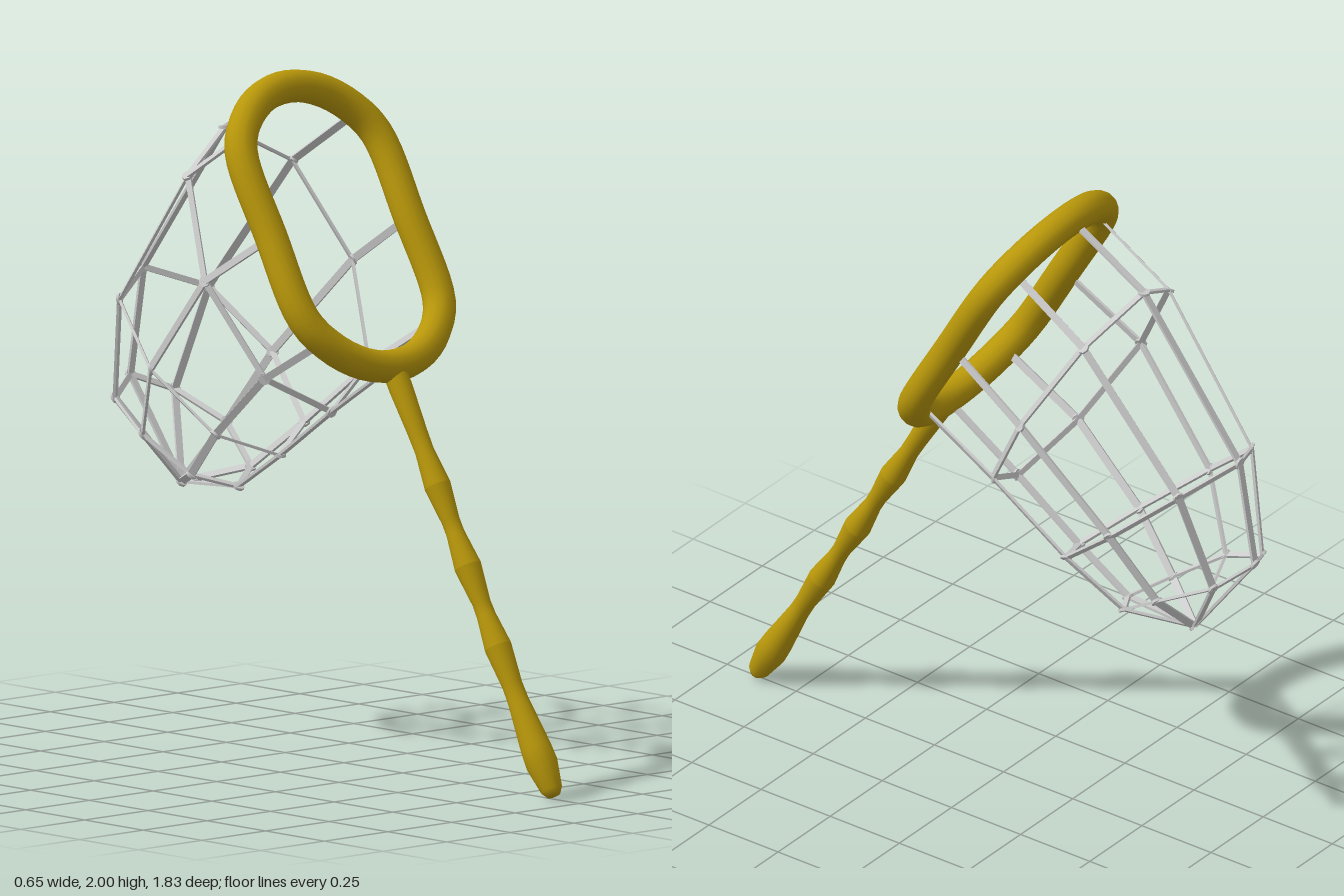
import * as THREE from 'three';
import { mergeGeometries } from 'three/addons/utils/BufferGeometryUtils.js';

const V = (x, y, z) => new THREE.Vector3(x, y, z);

export function createModel() {
  const model = new THREE.Group();
  const bamboo = new THREE.MeshStandardMaterial({ color: 0xb8970a });
  const cord = new THREE.MeshStandardMaterial({ color: 0xcccccc });

  // Everything is built upright along y, then leaned back
  const landingNet = new THREE.Group();
  landingNet.name = 'landingNet';
  landingNet.position.set(0, 0.02, 0.888);
  landingNet.rotation.x = THREE.MathUtils.degToRad(-30.3);
  model.add(landingNet);

  const add = (parent, geometry, material, name) => {
    const mesh = new THREE.Mesh(geometry, material);
    mesh.name = name;
    parent.add(mesh);
  };

  // Handle: one lathe per cane section, so each joint keeps a crisp ring
  const handle = new THREE.Group();
  handle.name = 'handle';
  landingNet.add(handle);
  const sections = [
    [[0, -0.012], [0.02, -0.011], [0.032, 0.008], [0.047, 0.09], [0.045, 0.14], [0.031, 0.29], [0.03, 0.34], [0.04, 0.46]],
    [[0.04, 0.46], [0.028, 0.56], [0.027, 0.6], [0.04, 0.714]],
    [[0.04, 0.714], [0.027, 0.82], [0.027, 0.86], [0.039, 0.97]],
    [[0.039, 0.97], [0.028, 1.08], [0.029, 1.14], [0.035, 1.28], [0.035, 1.345]],
  ];
  for (const profile of sections) {
    const points = profile.map(([r, y]) => new THREE.Vector2(r, y));
    add(handle, new THREE.LatheGeometry(points, 16), bamboo, 'handleSection');
  }

  // Hoop: a shallow circular arc at each end, joined by slightly bowed sides
  const hoopPoints = [];
  const arcRadius = 0.287;
  const arcAngle = Math.asin(0.265 / arcRadius);
  for (const end of [1, -1]) {
    for (let i = 0; i <= 6; i++) {
      const a = (1 - i / 3) * arcAngle;
      const rise = arcRadius * (Math.cos(a) - Math.cos(arcAngle));
      hoopPoints.push(V(end * arcRadius * Math.sin(a), 1.7925 + end * (0.266 + rise), 0));
    }
    hoopPoints.push(V(-end * 0.272, 1.7925, 0));
  }
  const hoopCurve = new THREE.CatmullRomCurve3(hoopPoints, true);
  add(landingNet, new THREE.TubeGeometry(hoopCurve, 72, 0.048, 14, true), bamboo, 'hoop');

  // Net: rings of knots from the hoop to the tip, top to bottom on one side [x, y, depth]
  const halfRings = [
    [[0, 2.24, 0], [0.2, 2.12, 0], [0.27, 1.79, 0], [0.2, 1.46, 0], [0, 1.35, 0]],
    [[0, 2.241, 0.307], [0.205, 2.111, 0.307], [0.29, 1.786, 0.307], [0.205, 1.466, 0.305], [0, 1.338, 0.307]],
    [[0, 2.027, 0.833], [0.175, 1.926, 0.79], [0.24, 1.674, 0.704], [0.175, 1.42, 0.614], [0, 1.317, 0.575]],
    [[0, 1.778, 1.042], [0.117, 1.705, 1.013], [0.165, 1.55, 0.909], [0.117, 1.38, 0.828], [0, 1.31, 0.784]],
  ];
  const rings = halfRings.map((half) => {
    const side = half.map(([x, y, d]) => V(x, y, -d));
    const mirrored = side.slice(1, 4).reverse().map((p) => V(-p.x, p.y, p.z));
    return [...side, ...mirrored];
  });
  const tip = V(0, 1.42, -1.0);

  // Outward direction of the bag at a point
  const outwardAt = (p) => V(p.x, (p.y - 1.68) * 0.5, p.z + 0.45);

  const pieces = [];
  // Flat cord between two knots, its broad face turned outward
  const strand = (a, b, width) => {
    const along = b.clone().sub(a);
    const length = along.length();
    along.normalize();
    const centre = a.clone().lerp(b, 0.5);
    const outward = outwardAt(centre);
    outward.addScaledVector(along, -outward.dot(along)).normalize();
    const across = along.clone().cross(outward);
    const geometry = new THREE.BoxGeometry(width, length, 0.008);
    geometry.applyMatrix4(new THREE.Matrix4().makeBasis(across, along, outward).setPosition(centre));
    pieces.push(geometry);
  };
  // Small flat knot where cords cross
  const knot = (p) => {
    const geometry = new THREE.CylinderGeometry(0.018, 0.018, 0.008, 8);
    const turn = new THREE.Quaternion().setFromUnitVectors(V(0, 1, 0), outwardAt(p).normalize());
    geometry.applyQuaternion(turn);
    geometry.translate(p.x, p.y, p.z);
    pieces.push(geometry);
  };

  for (let c = 0; c < 8; c++) {
    rings.forEach((ring, r) => {
      strand(ring[c], r < 3 ? rings[r + 1][c] : tip, 0.022);
      if (r === 0) return;
      strand(ring[c], ring[(c + 1) % 8], 0.017);
      knot(ring[c]);
    });
  }
  knot(tip);
  add(landingNet, mergeGeometries(pieces), cord, 'net');

  return model;
}
